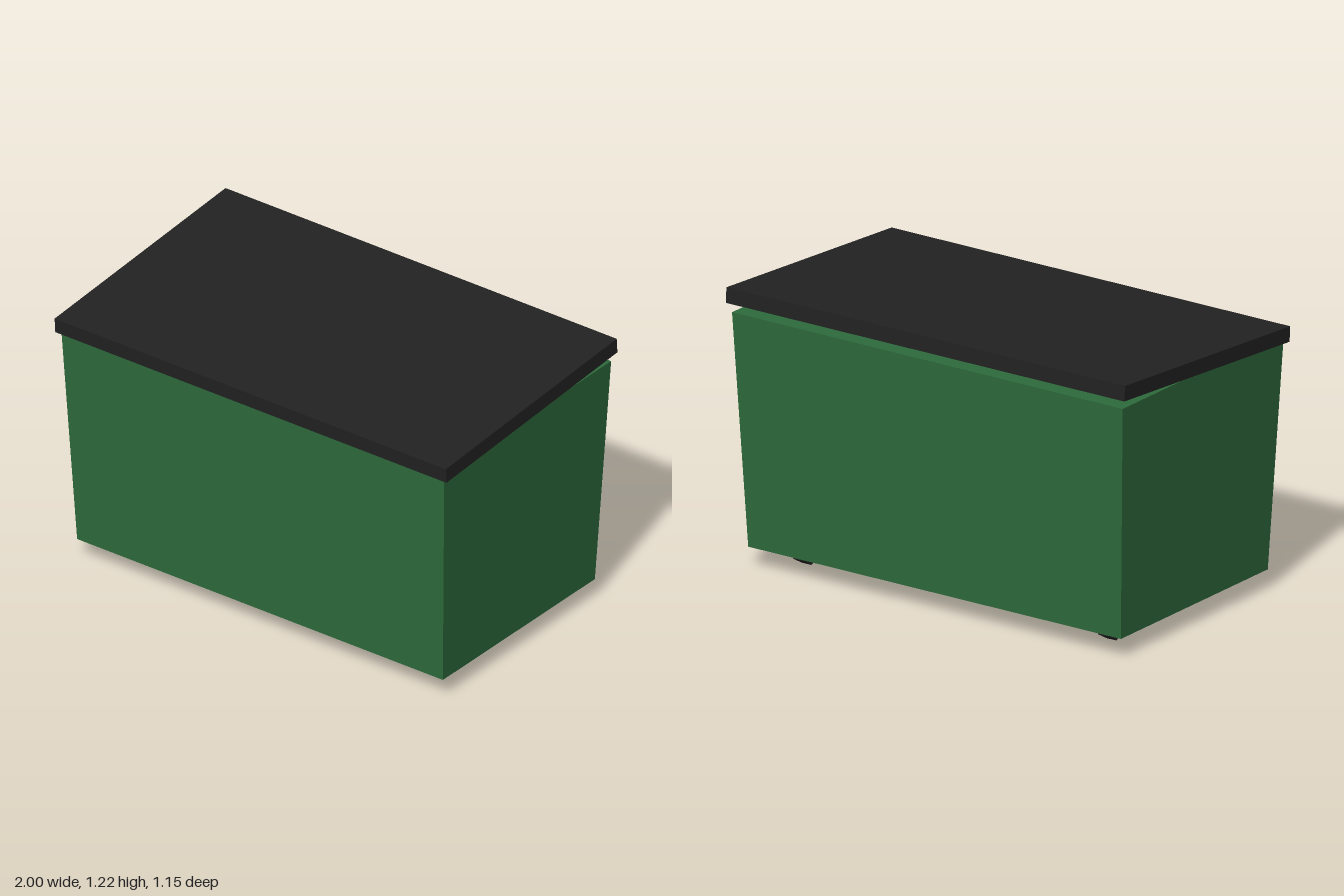
import * as THREE from 'three';

export function createModel() {
  const group = new THREE.Group();
  const green = new THREE.MeshStandardMaterial({ color: 0x2e6b3c });
  green.name = 'green';
  const black = new THREE.MeshStandardMaterial({ color: 0x222222 });
  black.name = 'black';

  const add = (name, geometry, material, x, y, z) => {
    const mesh = new THREE.Mesh(geometry, material);
    mesh.name = name;
    mesh.position.set(x, y, z);
    group.add(mesh);
    return mesh;
  };

  // Bin body: a box narrowed towards its base
  const bottom = 0.088, top = 1.108;
  const body = new THREE.BoxGeometry(1.96, top - bottom, 1.12);
  const p = body.attributes.position;
  for (let i = 0; i < p.count; i++) {
    if (p.getY(i) < 0) {
      p.setX(i, Math.sign(p.getX(i)) * 0.935);
      p.setZ(i, Math.sign(p.getZ(i)) * 0.51);
    }
  }
  body.computeVertexNormals();
  add('body', body, green, 0, (top + bottom) / 2, 0);

  // Lid, raised at the back
  const lid = add('lid', new THREE.BoxGeometry(2, 0.066, 1.15), black, 0, 1.142, 0);
  lid.rotation.x = 0.07;

  // Four six-sided wheels, each standing on a corner
  const radius = 0.068;
  const wheel = new THREE.CylinderGeometry(radius, radius, 0.05, 6)
    .rotateZ(Math.PI / 2).rotateX(Math.PI / 2).toNonIndexed();
  wheel.computeVertexNormals();
  for (const [side, x] of [['Left', 0.765], ['Right', -0.765]]) {
    for (const [end, z] of [['front', 0.34], ['back', -0.34]]) {
      add(`${end}${side}Wheel`, wheel, black, x, radius, z);
    }
  }
  return group;
}
